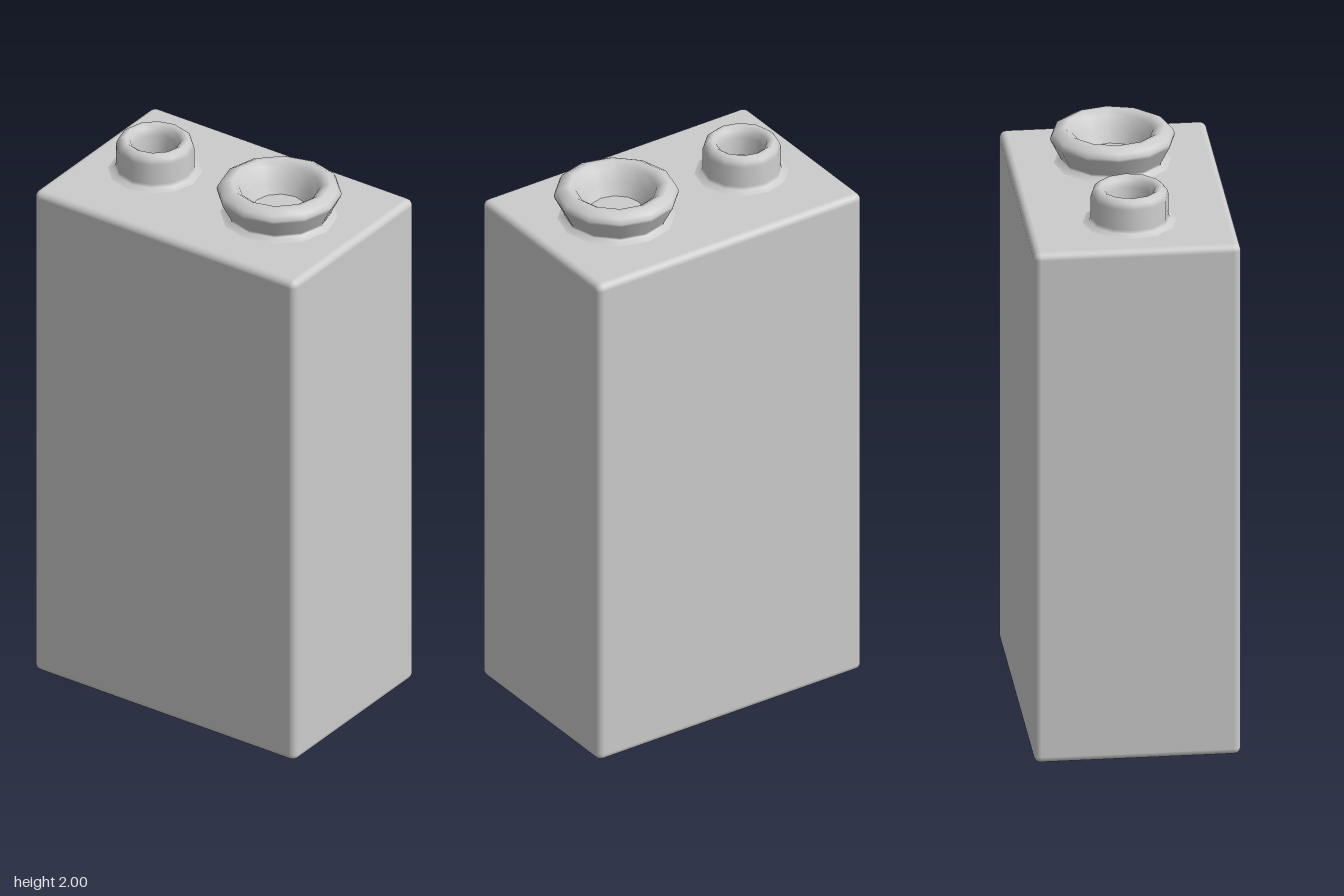
import * as THREE from 'three';
import { RoundedBoxGeometry } from 'three/addons/geometries/RoundedBoxGeometry.js';

const material = new THREE.MeshStandardMaterial({ color: 0xcccccc });
const SIDES = 12;
const TOP = 1.876;

// Turned contact: profile runs from the flared foot, over the rim and down into the hole
function makeTerminal(name, z, profile) {
  const group = new THREE.Group();
  group.name = name;
  group.position.z = z;

  const points = profile.map(([r, y]) => new THREE.Vector2(r, y));
  const ring = new THREE.Mesh(new THREE.LatheGeometry(points, SIDES), material);
  ring.name = name + 'Ring';

  const [floorRadius, floorY] = profile[profile.length - 1];
  const floor = new THREE.Mesh(new THREE.CircleGeometry(floorRadius, SIDES), material);
  floor.name = name + 'Floor';
  floor.rotation.x = -Math.PI / 2;
  floor.position.y = floorY;

  group.add(ring, floor);
  return group;
}

export function createModel() {
  const model = new THREE.Group();
  model.name = 'battery';

  // Case with softly rounded edges
  const body = new THREE.Mesh(new RoundedBoxGeometry(0.704, TOP, 1.082, 3, 0.025), material);
  body.name = 'case';
  body.position.y = TOP / 2;
  model.add(body);

  // Wide flared socket at the front
  model.add(makeTerminal('socketTerminal', 0.228, [
    [0.2, TOP], [0.175, 1.886], [0.178, 1.896], [0.21, 1.958], [0.212, 1.968],
    [0.204, 1.985], [0.178, 2], [0.16, 2], [0.138, 1.985], [0.114, 1.94], [0.093, 1.9],
  ]));

  // Narrow stud at the back
  model.add(makeTerminal('studTerminal', -0.285, [
    [0.16, TOP], [0.138, 1.884], [0.133, 1.896], [0.133, 1.97],
    [0.127, 1.988], [0.113, 2], [0.1, 2], [0.086, 1.99], [0.076, 1.965], [0.073, 1.9],
  ]));

  return model;
}
